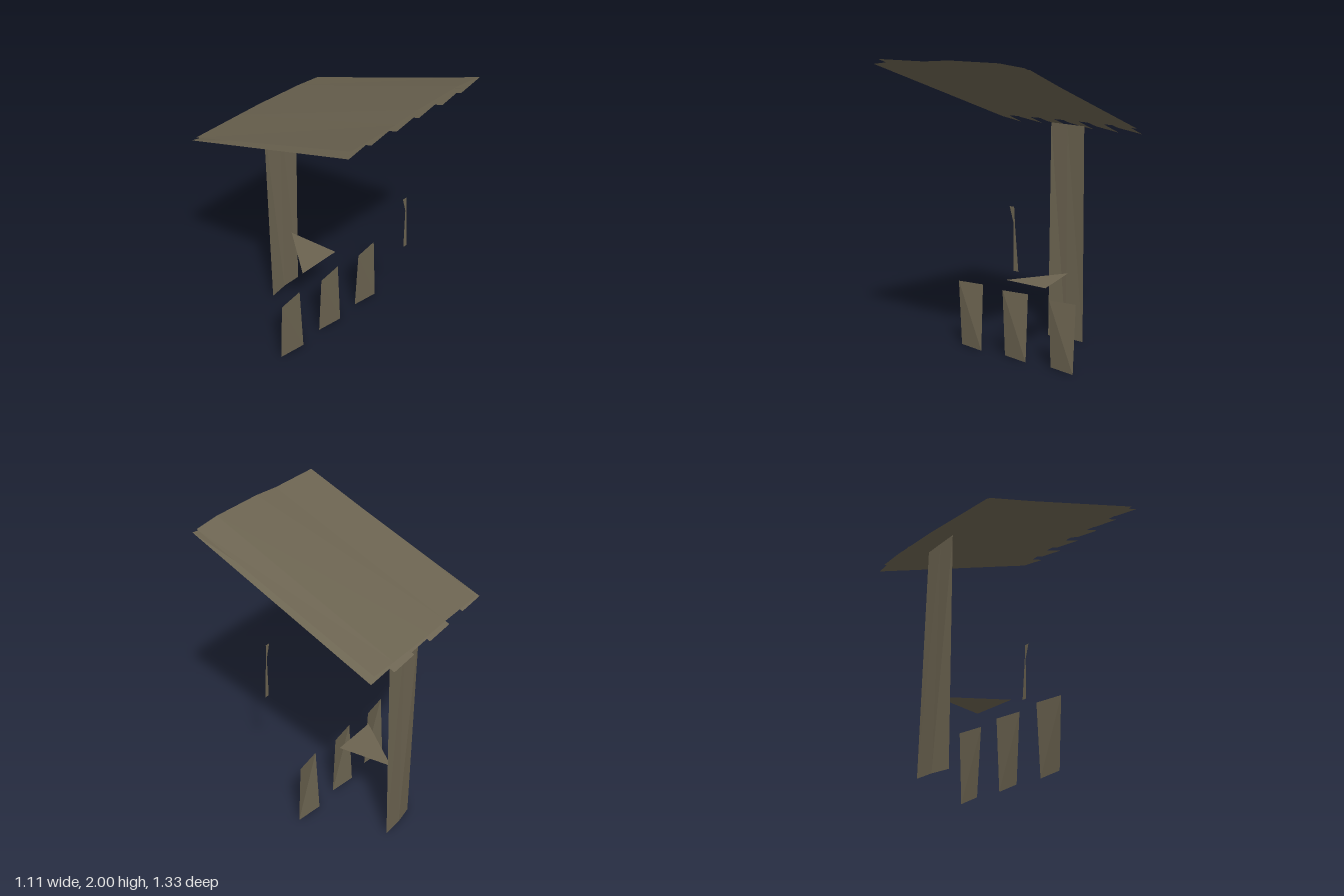
import * as THREE from 'three';

const wood = new THREE.MeshStandardMaterial({ color: 0x6b6350, side: THREE.DoubleSide, flatShading: true });
wood.name = 'weatheredWood';

// Thin sheet lofted between two rows of points (top row, bottom row)
function sheet(name, top, bottom) {
  const pos = [];
  for (let i = 0; i < top.length - 1; i++) {
    const a = top[i], b = top[i + 1], c = bottom[i], d = bottom[i + 1];
    pos.push(...a, ...c, ...d, ...a, ...d, ...b);
  }
  const geo = new THREE.BufferGeometry();
  geo.setAttribute('position', new THREE.Float32BufferAttribute(pos, 3));
  geo.computeVertexNormals();
  const mesh = new THREE.Mesh(geo, wood);
  mesh.name = name;
  return mesh;
}

export function createModel() {
  const model = new THREE.Group();
  model.name = 'leanToShelter';

  // Slightly arched roof cover, high at the front
  const xs = [-0.53, -0.18, 0, 0.35, 0.52];
  const backY = [1.5, 1.504, 1.504, 1.502, 1.497];
  const backZ = [-0.635, -0.64, -0.645, -0.64, -0.63];
  const frontY = [1.98, 1.983, 1.998, 2.0, 1.983];
  model.add(sheet('roofCover',
    xs.map((x, i) => [x, backY[i], backZ[i]]),
    xs.map((x, i) => [x, frontY[i], 0.645])));

  // Six twisted roof planks under the cover: [front z, back z]
  const planks = new THREE.Group();
  planks.name = 'roofPlanks';
  const edges = [-0.558, -0.38, -0.19, 0, 0.19, 0.37, 0.555];
  const lengths = [[0.655, -0.637], [0.65, -0.605], [0.66, -0.655], [0.655, -0.64], [0.665, -0.665], [0.655, -0.64]];
  const slopeY = (z) => 1.963 + 0.378 * (z - 0.65);
  // lift moves a corner along the slope's normal
  const corner = (x, z, lift) => [x, slopeY(z) + lift, z - 0.38 * lift];
  lengths.forEach(([f, b], i) => {
    const l = edges[i], r = edges[i + 1], t = 0.0125;
    planks.add(sheet('roofPlank',
      [corner(l, b, t), corner(r, b, -t)],
      [corner(l, f - 0.005, -t), corner(r, f - 0.005, t)]));
  });
  model.add(planks);

  // Tall back board with a slight bend
  model.add(sheet('backBoard',
    [[-0.073, 1.5, -0.527], [0.06, 1.5, -0.518], [0.197, 1.5, -0.507]],
    [[-0.073, 0, -0.51], [0.06, 0, -0.53], [0.197, 0, -0.53]]));

  // Three short twisted boards in front
  for (const x of [-0.367, -0.005, 0.357]) {
    const l = x - 0.092, r = x + 0.092;
    model.add(sheet('frontBoard',
      [[l, 0.46, 0], [r, 0.46, -0.025]],
      [[l, 0, -0.025], [r, 0, 0]]));
  }

  // Triangular seat
  const seatShape = new THREE.Shape([[-0.154, 0.117], [0.16, 0.117], [0.103, 0.483]].map(([x, y]) => new THREE.Vector2(x, y)));
  const seat = new THREE.Mesh(new THREE.ShapeGeometry(seatShape), wood);
  seat.name = 'seat';
  seat.rotation.x = -Math.PI / 2;
  seat.position.y = 0.49;
  model.add(seat);

  // Crooked flat stick
  const stickShape = new THREE.Shape([[0.236, 1.143], [0.265, 1.042], [0.265, 0.751], [0.299, 0.751], [0.275, 1.032], [0.269, 1.143]]
    .map(([x, y]) => new THREE.Vector2(x, y)));
  const stick = new THREE.Mesh(new THREE.ShapeGeometry(stickShape), wood);
  stick.name = 'stick';
  stick.position.z = 0.385;
  model.add(stick);

  return model;
}
